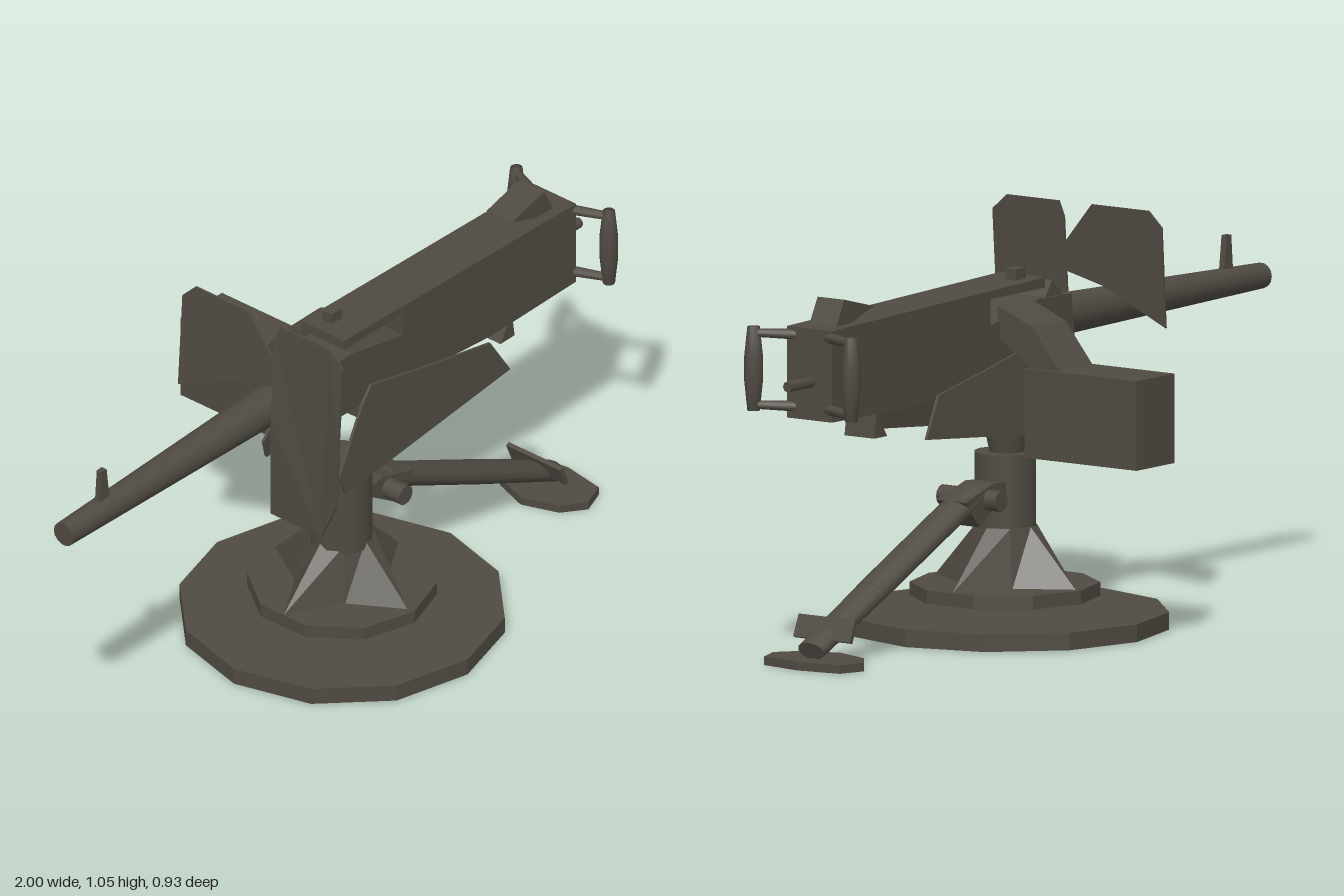
import * as THREE from 'three';

export function createModel() {
  const root = new THREE.Group();
  const steel = new THREE.MeshStandardMaterial({ color: 0x4f4a42, side: THREE.DoubleSide });
  steel.name = 'dark gunmetal';
  const flat = new THREE.MeshStandardMaterial({ color: 0x4f4a42, side: THREE.DoubleSide, flatShading: true });
  flat.name = 'dark gunmetal faceted';
  const CZ = 0.045; // gun and pedestal centre plane

  const add = (name, geo, mat = flat) => {
    const m = new THREE.Mesh(geo, mat);
    m.name = name;
    root.add(m);
    return m;
  };
  const box = (name, x0, x1, y0, y1, z0, z1) =>
    add(name, new THREE.BoxGeometry(x1 - x0, y1 - y0, z1 - z0)
      .translate((x0 + x1) / 2, (y0 + y1) / 2, (z0 + z1) / 2));
  // cylinder from a to b, optionally squashed before it is aimed
  const rod = (name, a, b, ra, rb, sides = 12, squash = 1) => {
    const A = new THREE.Vector3(...a), B = new THREE.Vector3(...b), d = B.clone().sub(A);
    const g = new THREE.CylinderGeometry(rb, ra, d.length(), sides).scale(squash, 1, 1);
    g.applyQuaternion(new THREE.Quaternion().setFromUnitVectors(new THREE.Vector3(0, 1, 0), d.normalize()));
    return add(name, g.translate(...A.add(B).multiplyScalar(0.5).toArray()), steel);
  };
  const shape = (pts) => new THREE.Shape(pts.map((p) => new THREE.Vector2(...p)));
  // side profile in x,y given a thickness between z0 and z1
  const slab = (name, pts, z0, z1) =>
    add(name, new THREE.ExtrudeGeometry(shape(pts), { depth: z1 - z0, bevelEnabled: false }).translate(0, 0, z0));

  // Base disc, flange and star-shaped pedestal foot
  const disc = (name, r, sides, y0, y1, x) =>
    add(name, new THREE.CylinderGeometry(r, r, y1 - y0, sides).translate(x, (y0 + y1) / 2, CZ));
  disc('baseDisc', 0.42, 12, 0.01, 0.055, 0.073);
  disc('flange', 0.242, 10, 0.09, 0.125, 0.073);
  const star = new THREE.CylinderGeometry(1, 1, 0.15, 8, 1);
  const sp = star.attributes.position;
  for (let i = 0; i < sp.count; i++) {
    const x = sp.getX(i), z = sp.getZ(i);
    const tip = Math.min(Math.abs(x), Math.abs(z)) < 0.01;
    const r = sp.getY(i) > 0 ? 0.08 : tip ? 0.225 : 0.12;
    sp.setXYZ(i, x * r, sp.getY(i), z * r);
  }
  add('pedestalFins', star.translate(0.07, 0.197, CZ));
  rod('post', [0.065, 0.25, 0.05], [0.065, 0.46, 0.05], 0.08, 0.08, 14);
  rod('swivelNeck', [0.065, 0.46, CZ], [0.065, 0.51, CZ], 0.045, 0.055);

  // Rear brace leg with clevis, collar, stop plate and foot
  slab('legClevis', [[0.11, 0.39], [0.18, 0.395], [0.3, 0.36], [0.24, 0.29], [0.13, 0.36]], 0, 0.09);
  rod('legPin', [0.2, 0.355, -0.04], [0.2, 0.355, 0.148], 0.027, 0.027);
  rod('legUpper', [0.22, 0.367, CZ], [0.64, 0.169, CZ], 0.029, 0.029).scale.z = 1;
  rod('legLower', [0.6, 0.188, CZ], [0.89, 0.05, CZ], 0.029, 0.025);
  for (const n of ['legUpper', 'legLower']) { // widen the tubes sideways
    const m = root.getObjectByName(n);
    m.scale.z = 1.65;
    m.position.z = CZ * (1 - 1.65);
  }
  const stop = box('legStop', -0.006, 0.006, -0.03, 0.03, -0.09, 0.09);
  stop.position.set(0.83, 0.1, CZ);
  stop.rotation.z = 0.4;
  const foot = [[0.765, 0], [0.8, -0.1], [0.86, -0.145], [0.93, -0.12], [0.95, 0], [0.93, 0.12], [0.86, 0.145], [0.8, 0.1]];
  add('legFoot', new THREE.ExtrudeGeometry(shape(foot), { depth: 0.022, bevelEnabled: false })
    .rotateX(Math.PI / 2).translate(0, 0.03, CZ));

  // Cradle side plates leaning slightly outward, joined by cross bars
  const wing = [[0.06, 0.76], [0.27, 0.715], [0.51, 0.67], [0.575, 0.565], [-0.07, 0.505], [-0.088, 0.56], [0.02, 0.72]];
  for (const side of [1, -1]) {
    const g = new THREE.ExtrudeGeometry(shape(wing), { depth: 0.008, bevelEnabled: false });
    const p = g.attributes.position;
    for (let i = 0; i < p.count; i++) {
      p.setZ(i, CZ + side * (p.getZ(i) + 0.122 - 0.1 * (p.getY(i) - 0.57)));
    }
    const idx = [...Array(p.count).keys()];
    if (side < 0) for (let i = 0; i < idx.length; i += 3) [idx[i], idx[i + 1]] = [idx[i + 1], idx[i]];
    g.setIndex(idx);
    g.computeVertexNormals();
    add(side > 0 ? 'cradlePlateFront' : 'cradlePlateBack', g);
  }
  box('cradleBarFront', -0.06, -0.03, 0.51, 0.55, -0.085, 0.17);
  box('cradleBarRear', 0.19, 0.22, 0.53, 0.56, -0.085, 0.17);

  // Receiver with an opening under the top cover
  slab('receiver', [[-0.13, 0.69], [-0.112, 0.85], [0.03, 0.852], [0.23, 0.81], [0.23, 0.878], [0, 0.878],
    [0, 0.905], [0.9, 0.88], [0.9, 0.645], [0.57, 0.642], [0.3, 0.665]], -0.028, 0.115);
  slab('coverLatch', [[-0.09, 0.845], [-0.04, 0.892], [-0.01, 0.85]], -0.02, 0.1);
  box('coverKnob', 0.04, 0.08, 0.89, 0.932, 0.005, 0.038);
  slab('rearSight', [[0.685, 0.915], [0.81, 0.947], [0.845, 0.88], [0.79, 0.88]], 0, 0.085);
  slab('trigger', [[0.635, 0.575], [0.68, 0.645], [0.69, 0.575]], -0.004, 0.09);

  // Barrel with blade front sight
  rod('barrel', [-1, 0.777, 0.038], [-0.1, 0.785, 0.04], 0.033, 0.055, 14);
  slab('frontSight', [[-0.87, 0.8], [-0.862, 0.9], [-0.842, 0.9], [-0.83, 0.8]], 0.03, 0.046);

  // Two shield plates, upright below and tilted back above
  const shield = (name, zy) => {
    const g = new THREE.ExtrudeGeometry(shape(zy), { depth: 0.006, bevelEnabled: false }).rotateY(-Math.PI / 2);
    const p = g.attributes.position;
    for (let i = 0; i < p.count; i++) p.setX(i, p.getX(i) - 0.252 + 0.02 * Math.max(0, (p.getY(i) - 0.78) / 0.28));
    g.computeVertexNormals();
    add(name, g);
  };
  shield('shieldFront', [[0.09, 0.5], [0.26, 0.5], [0.312, 0.61], [0.317, 0.78], [0.317, 1.02], [0.27, 1.06],
    [0.105, 1.06], [0.09, 1.02], [0.09, 0.78]]);
  shield('shieldBack', [[-0.22, 0.76], [-0.03, 0.85], [0.09, 0.88], [0.09, 0.955], [0, 1.06], [-0.18, 1.06], [-0.22, 1.02]]);

  // Ammunition box and feed chute
  box('ammoBox', 0.042, 0.202, 0.475, 0.705, -0.47, -0.115);
  const chute = [[0.02, 0.855], [0.13, 0.81], [0.22, 0.7], [0.13, 0.7], [0.02, 0.78]];
  add('feedChute', new THREE.ExtrudeGeometry(shape(chute), { depth: 0.14, bevelEnabled: false })
    .rotateY(Math.PI / 2).translate(0.05, 0, 0));

  // Spade grips, their arms and the trigger button
  for (const side of [1, -1]) {
    const z = 0.04 + side * 0.155;
    const profile = [[0.001, -0.108], [0.016, -0.108], [0.024, -0.03], [0.024, 0.03], [0.016, 0.108], [0.001, 0.108]];
    add('grip', new THREE.LatheGeometry(profile.map((p) => new THREE.Vector2(...p)), 10)
      .translate(0.934, 0.768, z), steel);
    for (const y of [0.675, 0.86]) rod('gripArm', [0.89, y, 0.04 + side * 0.05], [0.934, y, z], 0.014, 0.011, 8);
  }
  rod('triggerButton', [0.89, 0.743, 0.038], [1, 0.743, 0.038], 0.014, 0.014, 8);

  return root;
}
